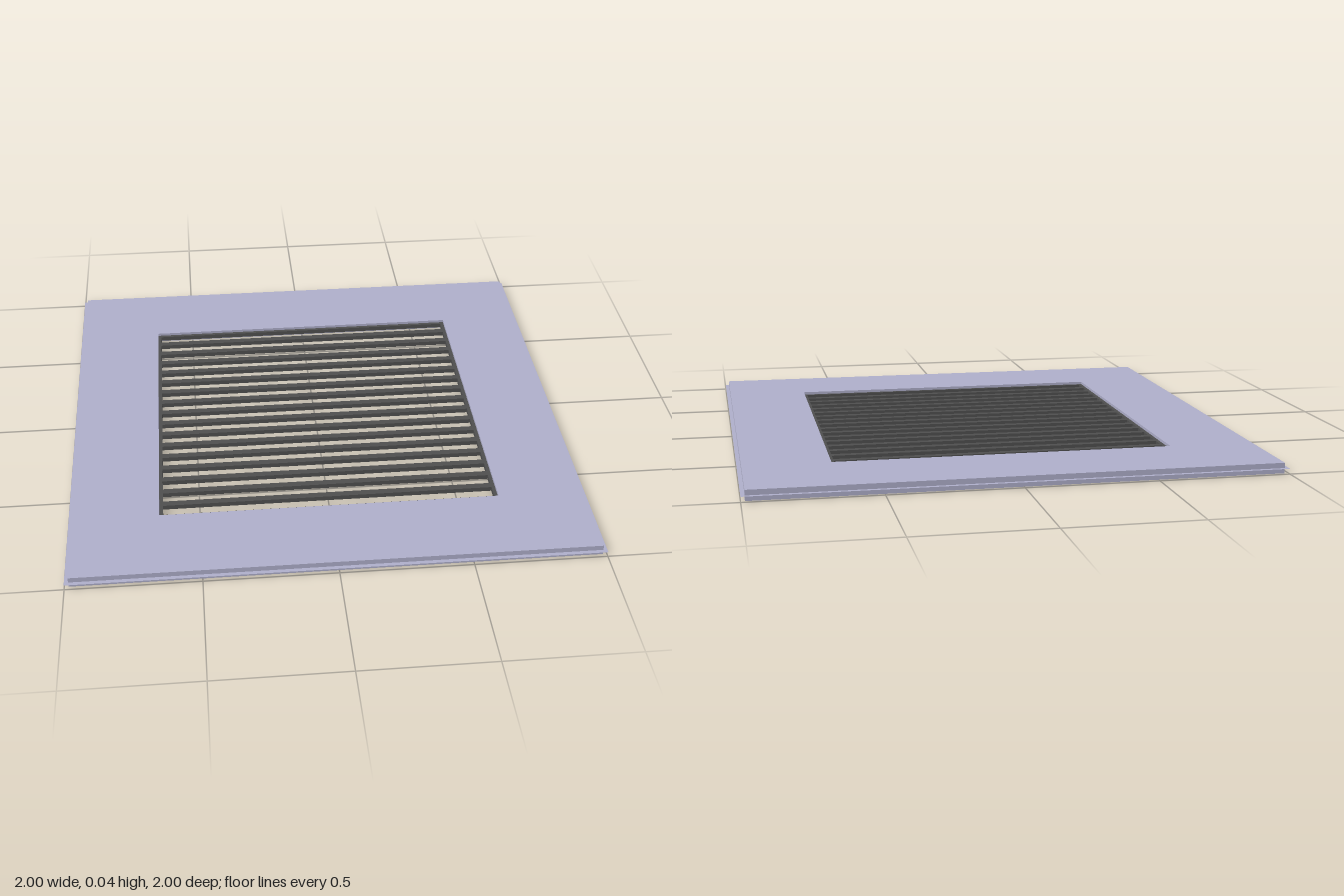
import * as THREE from 'three';

const paint = new THREE.MeshStandardMaterial({ color: 0xb0b0cc, side: THREE.DoubleSide });
const dark = new THREE.MeshStandardMaterial({ color: 0x505050 });

// Square outline with a square hole, given by half widths
function squareRing(outer, inner) {
  const corners = (r) => [[-r, -r], [r, -r], [r, r], [-r, r]].map(([x, y]) => new THREE.Vector2(x, y));
  const shape = new THREE.Shape(corners(outer));
  shape.holes.push(new THREE.Path(corners(inner).reverse()));
  return shape;
}

// Lay a ring flat with its underside at height y
function flatRing(name, geometry, material, y) {
  geometry.rotateX(-Math.PI / 2);
  const mesh = new THREE.Mesh(geometry, material);
  mesh.name = name;
  mesh.position.y = y;
  return mesh;
}

const slab = (outer, inner, depth) =>
  new THREE.ExtrudeGeometry(squareRing(outer, inner), { depth, bevelEnabled: false });

export function createModel() {
  const model = new THREE.Group();
  model.name = 'ventGrille';

  // Wide square surround with a paper-thin lip around its edge
  model.add(flatRing('surround', slab(0.985, 0.655, 0.04), paint, 0));
  model.add(flatRing('edgeLip', new THREE.ShapeGeometry(squareRing(1, 0.985)), paint, 0.02));

  // Dark frame lining the opening
  const thickness = 0.018;
  model.add(flatRing('grilleFrame', slab(0.655, 0.641, thickness), dark, 0.02 - thickness / 2));

  // Evenly spaced slats across the opening
  const slats = new THREE.Group();
  slats.name = 'slats';
  const slatGeometry = new THREE.BoxGeometry(1.284, thickness, 0.027);
  const count = 16, spacing = 0.077;
  for (let i = 0; i < count; i++) {
    const slat = new THREE.Mesh(slatGeometry, dark);
    slat.name = 'slat';
    slat.position.set(0, 0.02, (i - (count - 1) / 2) * spacing - 0.005);
    slats.add(slat);
  }
  model.add(slats);
  return model;
}
